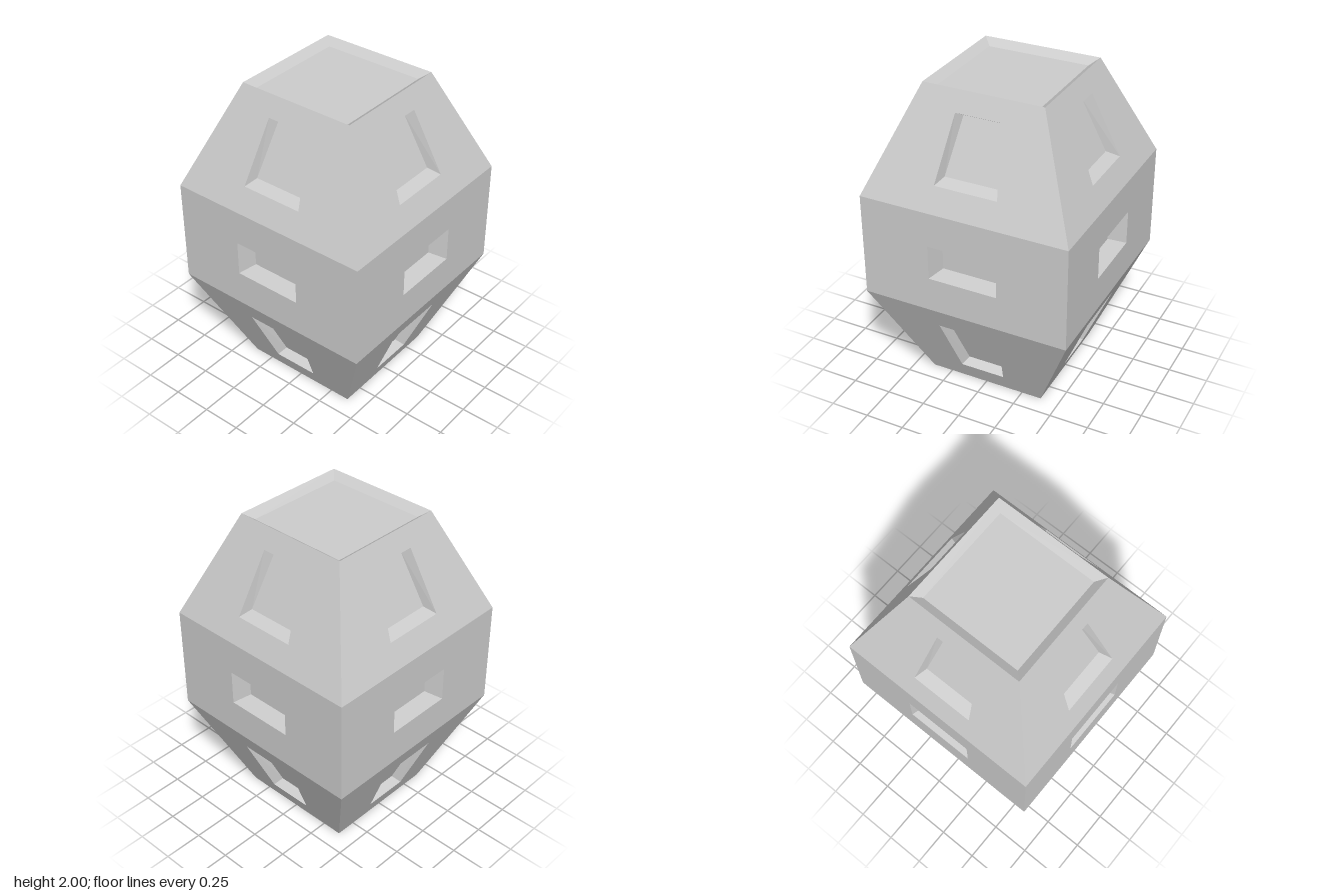
import * as THREE from 'three';

const hull = new THREE.MeshStandardMaterial({ color: 0xcccccc });
hull.name = 'hullGrey';

// Four corners of a trapezoid: bottom edge (y, half width, z), then top edge
function trapezoid([yb, hb, zb], [yt, ht, zt]) {
  return [[-hb, yb, zb], [hb, yb, zb], [ht, yt, zt], [-ht, yt, zt]];
}

// Joins nested four-sided loops with flat faces; optionally closes the last one
function loopsMesh(name, loops, closed) {
  const points = [];
  const quad = (a, b, c, d) => points.push(...a, ...b, ...c, ...a, ...c, ...d);
  for (let k = 0; k < loops.length - 1; k++) {
    const outer = loops[k], inner = loops[k + 1];
    for (let i = 0; i < 4; i++) {
      const j = (i + 1) % 4;
      quad(outer[i], outer[j], inner[j], inner[i]);
    }
  }
  if (closed) quad(...loops[loops.length - 1]);
  const geometry = new THREE.BufferGeometry();
  geometry.setAttribute('position', new THREE.Float32BufferAttribute(points, 3));
  geometry.computeVertexNormals();
  const mesh = new THREE.Mesh(geometry, hull);
  mesh.name = name;
  return mesh;
}

const WIDE = 0.665, NARROW = 0.38, SHOULDER = 1.333;
const slopeZ = (y) => WIDE - (WIDE - NARROW) * (y - SHOULDER) / (2 - SHOULDER);

// Each panel: outer edge, window opening and recessed window floor
const upper = [
  [[SHOULDER, WIDE, WIDE], [2, NARROW, NARROW]],
  [[1.485, 0.2, slopeZ(1.485)], [1.878, 0.145, slopeZ(1.878)]],
  [[1.512, 0.174, slopeZ(1.512) - 0.068], [1.847, 0.122, slopeZ(1.847) - 0.068]],
];
const middle = [
  [[2 - SHOULDER, WIDE, WIDE], [SHOULDER, WIDE, WIDE]],
  [[0.889, 0.222, WIDE], [1.111, 0.222, WIDE]],
  [[0.908, 0.185, WIDE - 0.11], [1.092, 0.185, WIDE - 0.11]],
];
const flip = ([y, h, z]) => [2 - y, h, z];
const lower = upper.map(([bottom, top]) => [flip(top), flip(bottom)]);

export function createModel() {
  const model = new THREE.Group();
  model.name = 'facetedPod';

  // Four identical sides, each with three stacked window panels
  ['front', 'left', 'back', 'right'].forEach((label, i) => {
    const side = new THREE.Group();
    side.name = label + 'Side';
    side.rotation.y = i * Math.PI / 2;
    for (const [name, panel] of Object.entries({ upper, middle, lower })) {
      const [edge, opening, floor] = panel.map(([b, t]) => trapezoid(b, t));
      side.add(loopsMesh(name + 'Panel', [edge, opening], false));
      side.add(loopsMesh(name + 'WindowRecess', [opening, floor], true));
    }
    model.add(side);
  });

  // Shallow sunken trays at both ends
  const inner = 0.327, depth = 0.04;
  const square = (y, h, s) => trapezoid([y, h, s * h], [y, h, -s * h]);
  model.add(loopsMesh('topRecess', [square(2, NARROW, 1), square(2 - depth, inner, 1)], true));
  model.add(loopsMesh('bottomRecess', [square(0, NARROW, -1), square(depth, inner, -1)], true));
  return model;
}
